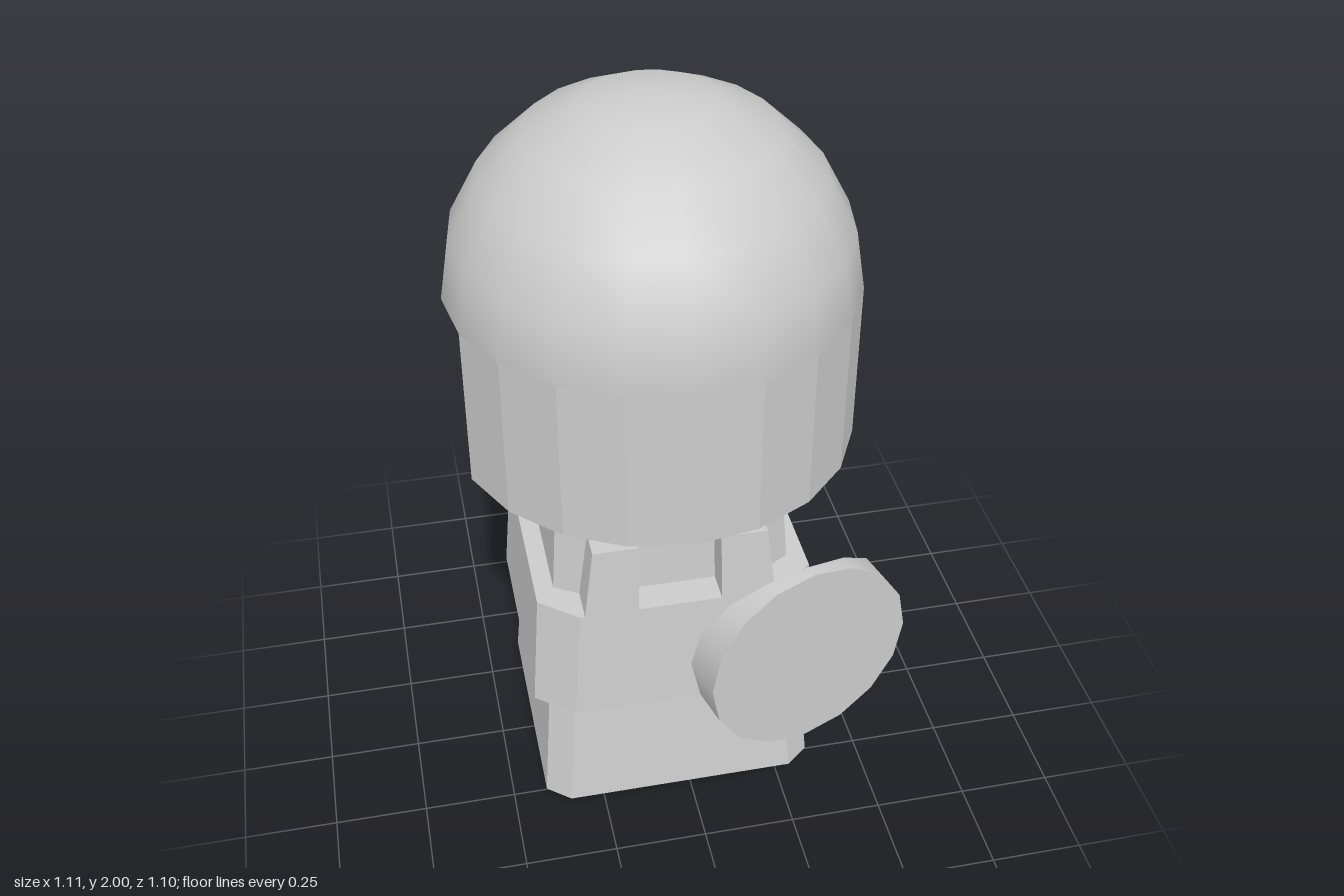
import * as THREE from 'three';
import { toCreasedNormals } from 'three/addons/utils/BufferGeometryUtils.js';

const CX = -0.037, CZ = -0.025; // shared axis of head, hair and body

const flat = () => new THREE.MeshStandardMaterial({ color: 0xcccccc, flatShading: true });
const smooth = () => new THREE.MeshStandardMaterial({ color: 0xcccccc });

function add(group, name, geometry, material) {
  const mesh = new THREE.Mesh(geometry, material);
  mesh.name = name;
  group.add(mesh);
  return mesh;
}

// Closed solid through convex loops, each { y, pts: [[x, z], ...] }, counter-clockwise from above
function loft(loops) {
  const n = loops[0].pts.length, pos = [];
  const tri = (...corners) => corners.forEach(([l, i]) => {
    const [x, z] = loops[l].pts[i % n];
    pos.push(x, loops[l].y, z);
  });
  for (let l = 0; l < loops.length - 1; l++) {
    for (let i = 0; i < n; i++) {
      tri([l, i], [l, i + 1], [l + 1, i + 1]);
      tri([l, i], [l + 1, i + 1], [l + 1, i]);
    }
  }
  const top = loops.length - 1;
  for (let i = 1; i < n - 1; i++) {
    tri([0, 0], [0, i + 1], [0, i]);
    tri([top, 0], [top, i], [top, i + 1]);
  }
  const g = new THREE.BufferGeometry();
  g.setAttribute('position', new THREE.Float32BufferAttribute(pos, 3));
  g.computeVertexNormals();
  return g;
}

// Rectangle with cut corners: half width, back z, front z, cut in x, front cut, back cut
function cutRect(y, hw, z0, z1, cx, cf, cb) {
  const x0 = CX - hw, x1 = CX + hw;
  return { y, pts: [
    [x1 - cx, z1], [x1, z1 - cf], [x1, z0 + cb], [x1 - cx, z0],
    [x0 + cx, z0], [x0, z0 + cb], [x0, z1 - cf], [x0 + cx, z1],
  ] };
}

const rect = (y, x0, x1, z0, z1) => ({ y, pts: [[x1, z1], [x1, z0], [x0, z0], [x0, z1]] });

export function createModel() {
  const model = new THREE.Group();
  model.name = 'helmetedFigure';

  // Tapered lower body with a bevelled foot
  add(model, 'lowerBody', loft([
    cutRect(0, 0.32, -0.345, 0.295, 0.02, 0.02, 0.04),
    cutRect(0.06, 0.375, -0.4, 0.35, 0.062, 0.05, 0.1),
    cutRect(0.45, 0.343, -0.37, 0.305, 0.062, 0.05, 0.1),
  ]), flat());

  // Wider tunic band and the narrower collar above it
  add(model, 'tunic', loft([
    cutRect(0.405, 0.39, -0.415, 0.36, 0.1, 0.08, 0.11),
    cutRect(0.725, 0.365, -0.395, 0.335, 0.1, 0.08, 0.11),
  ]), flat());
  add(model, 'collar', loft([
    cutRect(0.7, 0.317, -0.347, 0.252, 0.075, 0.045, 0.06),
    cutRect(0.92, 0.302, -0.33, 0.24, 0.075, 0.045, 0.06),
  ]), flat());

  // Lapels continuing the tunic front on either side of a neck notch
  add(model, 'rightLapel', loft([
    rect(0.72, -0.29, -0.148, 0.22, 0.335),
    rect(0.92, -0.263, -0.145, 0.22, 0.32),
  ]), flat());
  add(model, 'leftLapel', loft([
    rect(0.72, 0.072, 0.215, 0.22, 0.335),
    rect(0.92, 0.07, 0.192, 0.22, 0.32),
  ]), flat());

  // Faceted head
  const head = add(model, 'head', new THREE.SphereGeometry(0.456, 18, 9), flat());
  head.rotation.y = Math.PI / 2;
  head.position.set(CX, 1.275, CZ);

  // Smooth helmet dome with a flat underside
  const R = 0.523, RIM = 1.5;
  const dome = new THREE.SphereGeometry(R, 20, 5, 0, Math.PI * 2, 0, Math.PI / 2);
  dome.scale(1, 0.5 / R, 1);
  add(model, 'helmetDome', dome, smooth()).position.set(CX, RIM, CZ);
  const under = add(model, 'helmetUnderside', new THREE.CircleGeometry(R, 20), flat());
  under.rotation.x = Math.PI / 2;
  under.position.set(CX, RIM, CZ);

  // Faceted face guard: a thick arc around the front
  const outer = [], inner = [], step = Math.PI / 10;
  for (let i = -4; i <= 4; i++) {
    const s = Math.sin(i * step), c = -Math.cos(i * step);
    outer.push(new THREE.Vector2(R * s, R * c));
    inner.unshift(new THREE.Vector2((R - 0.052) * s, (R - 0.052) * c));
  }
  const guard = new THREE.ExtrudeGeometry(new THREE.Shape([...outer, ...inner]),
    { depth: RIM - 1.063, bevelEnabled: false });
  guard.rotateX(-Math.PI / 2);
  add(model, 'faceGuard', guard, flat()).position.set(CX, 1.063, CZ);

  // Round shield: flat face, back hollowed around a vertical axis
  const r = 0.287;
  const profile = [0, 0.25, 0.5, 0.75, 1].map(t => new THREE.Vector2(r * t, -1));
  profile.push(new THREE.Vector2(r, 0), new THREE.Vector2(0, 0));
  const disc = new THREE.LatheGeometry(profile, 16);
  const p = disc.attributes.position;
  for (let i = 0; i < p.count; i++) {
    if (p.getY(i) < -0.5) p.setY(i, -0.033 - 0.086 * (p.getX(i) / r) ** 2);
  }
  disc.rotateX(Math.PI / 2);
  disc.deleteAttribute('normal');
  disc.deleteAttribute('uv');
  const shield = add(model, 'shield', toCreasedNormals(disc, 0.6), smooth());
  shield.rotation.y = THREE.MathUtils.degToRad(15);
  shield.position.set(0.277, 0.6, 0.473);

  return model;
}
